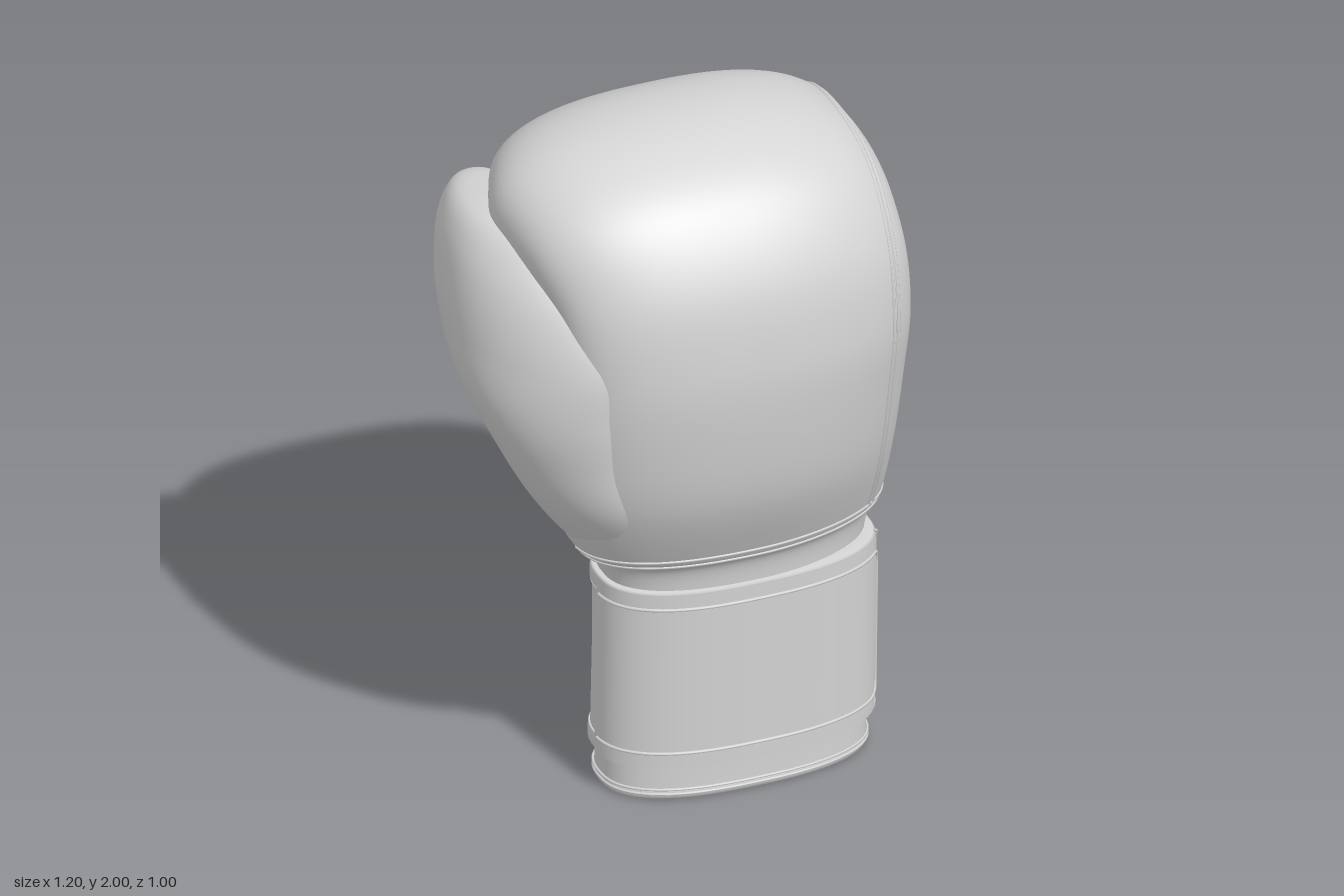
import * as THREE from 'three';

const leather = new THREE.MeshStandardMaterial({ color: 0xd4d4d4 });
leather.name = 'lightGreyLeather';
leather.side = THREE.DoubleSide;

// Smooth interpolation through rows of section numbers
function spline(rows) {
  const n = rows[0].length;
  const curve = new THREE.CubicInterpolant(rows.map((_, i) => i), rows.flat(), n, new Float32Array(n));
  return (t) => Array.from(curve.evaluate(t));
}
const pow = (v, e) => Math.sign(v) * Math.abs(v) ** e;

// Surface point(s, angle) swept into a mesh
function loft(point, sList, a0, a1, segs = 72) {
  const closed = Math.abs(a1 - a0 - Math.PI * 2) < 1e-6;
  const cols = closed ? segs : segs + 1;
  const pos = [], idx = [];
  sList.forEach((s, i) => {
    for (let j = 0; j < cols; j++) {
      pos.push(...point(s, a0 + (a1 - a0) * j / segs).toArray());
      if (i === sList.length - 1 || (!closed && j === segs)) continue;
      const k = (j + 1) % cols, a = i * cols + j, b = i * cols + k;
      idx.push(a, b, a + cols, b, b + cols, a + cols);
    }
  });
  const g = new THREE.BufferGeometry();
  g.setAttribute('position', new THREE.Float32BufferAttribute(pos, 3));
  g.setIndex(idx);
  g.computeVertexNormals();
  return g;
}
const range = (a, b, n) => Array.from({ length: n + 1 }, (_, i) => a + (b - a) * i / n);
const TAU = Math.PI * 2;

// Hand padding: outer z,y / inner z,y / min x, max x, from wrist around to fingertips
const bodyRows = [
  [0.28, 0.60, -0.10, 0.60, -0.20, 0.53],
  [0.295, 0.72, -0.10, 0.72, -0.23, 0.55],
  [0.34, 0.79, -0.11, 0.79, -0.31, 0.58],
  [0.44, 1.00, -0.10, 0.96, -0.37, 0.59],
  [0.487, 1.23, -0.03, 1.19, -0.39, 0.595],
  [0.50, 1.45, 0.035, 1.36, -0.39, 0.60],
  [0.46, 1.68, 0.045, 1.45, -0.41, 0.595],
  [0.34, 1.87, 0.02, 1.50, -0.45, 0.585],
  [0.17, 1.97, -0.03, 1.515, -0.475, 0.58],
  [-0.01, 2.00, -0.08, 1.52, -0.48, 0.57],
  [-0.20, 1.96, -0.13, 1.52, -0.435, 0.56],
  [-0.37, 1.84, -0.17, 1.49, -0.38, 0.54],
  [-0.475, 1.66, -0.195, 1.43, -0.335, 0.52],
  [-0.495, 1.50, -0.20, 1.35, -0.32, 0.505],
  [-0.455, 1.345, -0.21, 1.285, -0.30, 0.48],
  [-0.39, 1.255, -0.25, 1.24, -0.24, 0.42],
  [-0.325, 1.225, -0.32, 1.225, 0.06, 0.10],
];
const bodyAt = spline(bodyRows);
// Section squareness: round beside the side panel, squarer at the thumb side, palm and fingertips
const { smoothstep } = THREE.MathUtils;
const PALM_N = 2.8;
const sideN = (s) => 1.9 + 0.3 * smoothstep(s, 5, 8) + 0.5 * smoothstep(s, 8, 12);
const thumbSideN = (s) => 2.4 + 0.3 * smoothstep(s, 8, 12);
const innerN = (s) => PALM_N - 0.6 * smoothstep(s, 8, 13);
function body(s, a) {
  const [oz, oy, iz, iy, x0, x1] = bodyAt(s);
  const n = Math.cos(a) < 0 ? innerN(s) : Math.sin(a) > 0 ? sideN(s) : thumbSideN(s);
  const c = pow(Math.cos(a), 2 / n), w = pow(Math.sin(a), 2 / n);
  return new THREE.Vector3((x0 + x1) / 2 + (x1 - x0) / 2 * w,
    (oy + iy) / 2 + (oy - iy) / 2 * c, (oz + iz) / 2 + (oz - iz) / 2 * c);
}
// Point on the palm side for a given x and y
function palm(x, y) {
  let lo = 0, hi = 5.5;
  for (let i = 0; i < 30; i++) {
    const m = (lo + hi) / 2;
    if (bodyAt(m)[3] < y) lo = m; else hi = m;
  }
  const [, , , , x0, x1] = bodyAt(lo);
  const u = THREE.MathUtils.clamp((x - (x0 + x1) / 2) / ((x1 - x0) / 2), -0.98, 0.98);
  return body(lo, Math.PI - Math.asin(pow(u, PALM_N / 2)));
}

// Thumb: y, centre x, centre z, half x, half z
const thumbRows = [
  [0.74, -0.06, 0.10, 0.13, 0.12],
  [0.80, -0.14, 0.10, 0.165, 0.18],
  [0.97, -0.25, 0.13, 0.185, 0.235],
  [1.15, -0.34, 0.115, 0.19, 0.27],
  [1.30, -0.405, 0.055, 0.185, 0.345],
  [1.45, -0.43, 0.00, 0.17, 0.40],
  [1.58, -0.43, -0.04, 0.16, 0.375],
  [1.68, -0.43, -0.08, 0.135, 0.30],
  [1.745, -0.43, -0.11, 0.09, 0.20],
  [1.77, -0.43, -0.12, 0.005, 0.01],
];
const thumbAt = spline(thumbRows);
function thumb(s, a) {
  const [y, cx, cz, rx, rz] = thumbAt(s);
  const dz = rz * Math.cos(a);
  const bend = (dz > 0 ? 0.8 : 0.2) * dz * dz;
  return new THREE.Vector3(cx + rx * pow(Math.sin(a), 0.9) + bend, y, cz + dz);
}

// Wrist cuff: flattened oval, leaning slightly forward towards the top
function cuff(a, y, off) {
  const cz = 0.073 + 0.027 * y, e = 2 / 2.5;
  return new THREE.Vector3(0.165 + (0.385 + off) * pow(Math.sin(a), e), y,
    cz + (0.2 + off) * pow(Math.cos(a), e));
}
const cuffLoft = (profile, a0 = 0, a1 = TAU) =>
  loft((i, a) => cuff(a, profile[i][1], profile[i][0]), profile.map((_, i) => i), a0, a1, 96);

export function createModel() {
  const glove = new THREE.Group();
  glove.name = 'boxingGlove';
  const add = (name, geometry) => {
    const m = new THREE.Mesh(geometry, leather);
    m.name = name;
    glove.add(m);
    return m;
  };
  const welt = (name, pts, r = 0.006, closed = false) =>
    add(name, new THREE.TubeGeometry(new THREE.CatmullRomCurve3(pts, closed), Math.max(24, pts.length * 3), r, 6, closed));

  add('handPadding', loft(body, range(0, bodyRows.length - 1, 128), 0, TAU, 120));
  add('thumb', loft(thumb, range(0, thumbRows.length - 1, 72), 0, TAU, 64));

  // Side seam between the back panel and the side panel
  for (const depth of [0.51, 0.56])
    welt('sideSeam', range(2.05, 14, 80).map((s) => body(s, Math.acos(depth ** (sideN(s) / 2)))), 0.006);

  // Stitching where the padding meets the wrist
  for (const s of [1.75, 2]) welt('wristStitching', range(-1.5, 1.65, 40).map((a) => body(s, a)), 0.005);

  // Thumb seam and eyelet
  welt('thumbSeam', range(1.5, 4.6, 24).map((s) => thumb(s, -2.6)), 0.005);
  const eyelet = add('thumbEyelet', new THREE.TorusGeometry(0.009, 0.004, 6, 16));
  eyelet.position.copy(thumb(3.1, -2.95));

  // Palm opening and laced straps
  const slot = [];
  for (const t of range(0, Math.PI, 12)) slot.push(palm(0.165 + 0.045 * Math.cos(t), 1.08 + 0.06 * Math.sin(t)));
  welt('palmOpening', [palm(0.185, 0.67), palm(0.19, 0.85), ...slot, palm(0.14, 0.85), palm(0.145, 0.67)], 0.01);
  for (const side of [-1, 1]) {
    const line = (d0, y0, d1, y1) =>
      range(0, 1, 12).map((t) => palm(0.165 + side * (d0 + (d1 - d0) * t), y0 + (y1 - y0) * t));
    welt('palmStrapEdge', line(0.07, 0.66, 0.08, 1.12), 0.006);
    welt('palmStrapEdge', line(0.15, 0.66, 0.15, 1.12), 0.006);
    welt('palmStrapCross', line(0.08, 0.86, 0.15, 0.98), 0.004);
    welt('palmStrapCross', line(0.15, 0.86, 0.08, 0.98), 0.004);
    for (const y of [0.86, 0.98]) welt('palmStrapStitch', line(0.08, y, 0.15, y), 0.004);
    welt('palmSeam', line(0.22, 0.68, 0.33, 1.43), 0.006);
  }

  // Lining inside the opening
  add('lining', cuffLoft([[-0.03, 0.10], [-0.03, 0.45], [-0.035, 0.62], [-0.09, 0.68], [-0.19, 0.7]]));

  // Lower rim, split at the back
  const gap = 0.04;
  const rim = [[-0.03, 0.14], [-0.03, 0.03], [-0.025, 0.008], [-0.015, 0.003], [-0.006, 0.008], [-0.003, 0.02],
    [-0.005, 0.03], [-0.008, 0.04], [-0.008, 0.14]];
  add('cuffRim', cuffLoft(rim, -Math.PI + gap, Math.PI - gap));
  for (const y of [0.022, 0.036])
    welt('rimStitching', range(-Math.PI + gap, Math.PI - gap, 72).map((a) => cuff(a, y, -0.004)), 0.004);

  // Wrist strap with raised top and bottom bindings
  add('wristStrap', cuffLoft([[-0.02, 0.11], [0.004, 0.11], [0.010, 0.115], [0.010, 0.15], [0.004, 0.156],
    [0.002, 0.4], [0.004, 0.612], [0.010, 0.618], [0.010, 0.655], [0.004, 0.661], [-0.03, 0.661]]));
  for (const y of [0.156, 0.612])
    welt('strapStitching', range(0, TAU * 71 / 72, 71).map((a) => cuff(a, y, 0.006)), 0.004, true);

  // Strap flap wrapping over the front, with rounded end corners
  const y0 = 0.113, y1 = 0.659, end = 1.45;
  const flapEnd = (y) => {
    const d = Math.max(0, 0.06 - Math.min(y - y0, y1 - y)) / 0.06;
    return end - 0.22 * (1 - Math.sqrt(Math.max(0, 1 - d * d)));
  };
  const ys = [...range(y0, y0 + 0.06, 8), ...range(y0 + 0.07, y1 - 0.07, 8), ...range(y1 - 0.06, y1, 8)];
  add('strapFlap', loft((y, t) => cuff(-1.55 + t * (flapEnd(y) + 1.55), y, 0.014), ys, 0, 1, 72));
  welt('flapEdge', ys.map((y) => cuff(flapEnd(y), y, 0.011)), 0.006);

  // Stitched border inset from the flap edge
  const border = [
    ...range(-1.5, 1.05, 36).map((a) => cuff(a, 0.16, 0.014)),
    cuff(1.2, 0.168, 0.014), cuff(1.27, 0.2, 0.014),
    ...range(0.24, 0.54, 8).map((y) => cuff(1.28, y, 0.014)),
    cuff(1.27, 0.575, 0.014), cuff(1.2, 0.604, 0.014),
    ...range(1.05, -1.5, 36).map((a) => cuff(a, 0.612, 0.014)),
  ];
  welt('flapStitching', border, 0.005);

  return glove;
}
